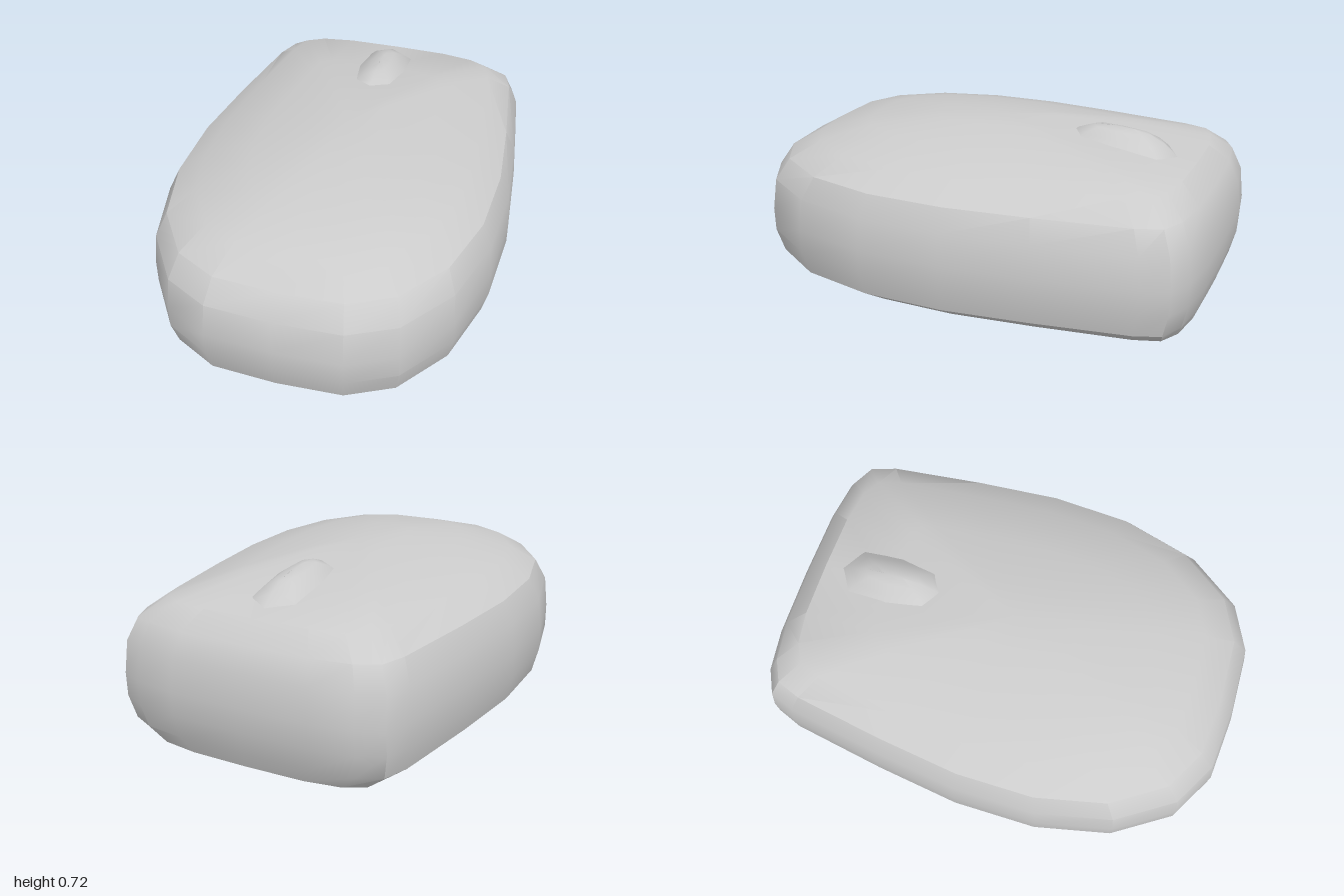
import * as THREE from 'three';
import { toCreasedNormals } from 'three/addons/utils/BufferGeometryUtils.js';

const grey = new THREE.MeshStandardMaterial({ color: 0xcccccc });

// Mirror a half outline [x, z] (back to front along +x) into a closed loop
const mirror = half => [...half, ...half.slice(1, -1).reverse().map(([x, z]) => [-x, z])];

// Stack scaled copies of an outline; ring = [y, x scale, front z scale, back z scale]
function loft(outline, rings, tilt = 0, crease = 0.53) {
  const n = outline.length, pos = [], index = [];
  for (const [y, sx, sf, sb] of rings)
    for (const [x, z] of outline) {
      const pz = z * (z > 0 ? sf : sb);
      pos.push(x * sx, y + tilt * pz, pz);
    }
  for (let r = 0; r < rings.length - 1; r++)
    for (let j = 0; j < n; j++) {
      const a = r * n + j, b = r * n + (j + 1) % n;
      index.push(a, a + n, b, b, a + n, b + n);
    }
  const geo = new THREE.BufferGeometry();
  geo.setAttribute('position', new THREE.Float32BufferAttribute(pos, 3));
  geo.setIndex(index);
  return toCreasedNormals(geo, crease);
}

export function createModel() {
  const group = new THREE.Group();

  // Rounded shell: narrow squared back, broad rounded front
  const plan = mirror([[0, -1], [0.3, -0.995], [0.48, -0.97], [0.58, -0.92], [0.62, -0.81], [0.68, -0.4],
    [0.72, -0.03], [0.71, 0.33], [0.63, 0.65], [0.47, 0.885], [0.28, 0.985], [0, 1]]);
  const shell = new THREE.Mesh(loft(plan, [
    [0, 0, 0, 0],
    [0.005, 0.53, 0.62, 0.88],
    [0.035, 0.83, 0.86, 0.945],
    [0.1, 0.965, 0.965, 0.97],
    [0.2, 1, 0.997, 0.995],
    [0.3, 1, 1, 1],
    [0.435, 0.985, 0.98, 0.985],
    [0.53, 0.925, 0.915, 0.945],
    [0.605, 0.77, 0.785, 0.86],
    [0.66, 0.49, 0.585, 0.56],
    [0.7, 0.2, 0.28, 0.22],
    [0.705, 0, 0, 0]
  ]), grey);
  shell.name = 'shell';
  group.add(shell);

  // Ridged scroll wheel set into the back of the top
  const oval = mirror([[0, -0.25], [0.11, -0.19], [0.14, 0], [0.11, 0.19], [0, 0.25]]);
  const wheel = new THREE.Mesh(loft(oval, [
    [0.63, 1, 1, 1],
    [0.68, 0.6, 0.75, 0.75],
    [0.708, 0.3, 0.5, 0.5],
    [0.718, 0, 0.2, 0.2]
  ], 0.08, 0.8), grey);
  wheel.name = 'scrollWheel';
  wheel.position.set(0.005, 0, -0.54);
  group.add(wheel);

  return group;
}
